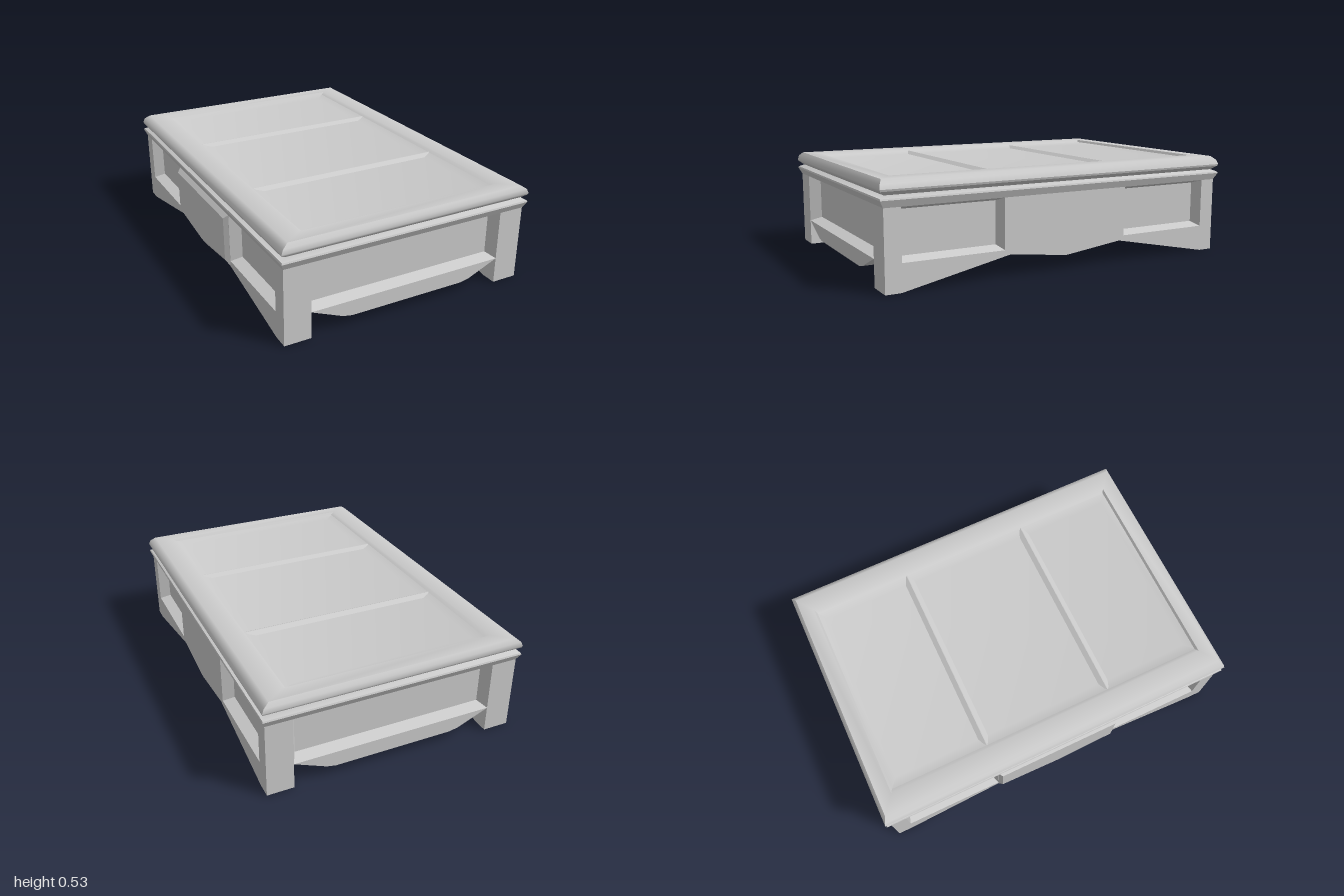
import * as THREE from 'three';
import { toCreasedNormals } from 'three/addons/utils/BufferGeometryUtils.js';

const material = new THREE.MeshStandardMaterial({ color: 0xcccccc });

function addMesh(parent, name, geometry) {
  const mesh = new THREE.Mesh(geometry, material);
  mesh.name = name;
  parent.add(mesh);
  return mesh;
}

// Joins equal-length loops [[x, y, z], ...] (counter-clockwise seen from +z) and caps the last one.
function loft(loops, crease = 0.3) {
  const points = [];
  for (let r = 0; r + 1 < loops.length; r++) {
    const a = loops[r], b = loops[r + 1], n = a.length;
    for (let i = 0; i < n; i++) {
      const j = (i + 1) % n;
      points.push(a[i], a[j], b[j], a[i], b[j], b[i]);
    }
  }
  const last = loops[loops.length - 1];
  const outline = last.map(([x, y]) => new THREE.Vector2(x, y));
  for (const face of THREE.ShapeUtils.triangulateShape(outline, [])) {
    points.push(...face.map((i) => last[i]));
  }
  const geometry = new THREE.BufferGeometry();
  geometry.setAttribute('position', new THREE.Float32BufferAttribute(points.flat(), 3));
  geometry.computeVertexNormals();
  return toCreasedNormals(geometry, crease);
}

const rect = (x0, x1, y0, y1, z) => [[x0, y0, z], [x1, y0, z], [x1, y1, z], [x0, y1, z]];
const centredRect = (hx, hy, z, cy = 0) => rect(-hx, hx, cy - hy, cy + hy, z);

// Sunken panel with sloping edges, facing +z.
function sunkenPanel(x0, x1, y0, y1, z, depth, bevel) {
  return loft([
    rect(x0, x1, y0, y1, z),
    rect(x0 + bevel, x1 - bevel, y0 + 0.02, y1 - 0.02, z - depth),
  ]);
}

const toShape = (points) => new THREE.Shape(points.map(([x, y]) => new THREE.Vector2(x, y)));

function extrude(shape, depth) {
  return new THREE.ExtrudeGeometry(shape, { depth, bevelEnabled: false });
}

// Long side with its two legs, wavy lower edge and two sunken panels; faces +z.
function makeSide() {
  const side = new THREE.Group();
  const shape = toShape([
    [-0.98, 0], [-0.9, 0], [-0.33, 0.115], [0, 0.075], [0.33, 0.115],
    [0.9, 0], [0.98, 0], [0.98, 0.42], [-0.98, 0.42],
  ]);
  for (const [x0, x1] of [[-0.895, -0.36], [0.36, 0.895]]) {
    shape.holes.push(toShape([[x0, 0.14], [x0, 0.4], [x1, 0.4], [x1, 0.14]]));
    addMesh(side, 'sidePanel', sunkenPanel(x0, x1, 0.14, 0.4, 0.68, 0.06, 0.02));
  }
  addMesh(side, 'sideSkirt', extrude(shape, 0.14)).position.z = 0.54;
  return side;
}

// Short end between the legs: sunken panel above a tapered apron; faces +z.
function makeEnd() {
  const end = new THREE.Group();
  addMesh(end, 'endPanel', sunkenPanel(-0.54, 0.54, 0.14, 0.4, 0.98, 0.06, 0.028));
  const apron = toShape([
    [-0.54, 0.14], [-0.37, 0.068], [-0.32, 0.058],
    [0.32, 0.058], [0.37, 0.068], [0.54, 0.14],
  ]);
  addMesh(end, 'endApron', extrude(apron, 0.065)).position.z = 0.915;
  return end;
}

export function createModel() {
  const table = new THREE.Group();
  table.name = 'coffeeTable';

  // Two-step moulded top with a sunken field
  const top = addMesh(table, 'tableTop', loft([
    centredRect(0.5, 0.8, 0.4),
    centredRect(0.68, 0.98, 0.4),
    centredRect(0.695, 0.999, 0.435),
    centredRect(0.692, 0.996, 0.443),
    centredRect(0.665, 0.97, 0.455),
    centredRect(0.692, 0.996, 0.475),
    centredRect(0.695, 1, 0.485),
    centredRect(0.685, 0.995, 0.508),
    centredRect(0.655, 0.978, 0.528),
    centredRect(0.56, 0.905, 0.528),
    centredRect(0.54, 0.895, 0.515),
    centredRect(0.49, 0.855, 0.503),
  ], 0.6));
  top.rotation.x = -Math.PI / 2;

  // Ridges dividing the top into three fields
  for (const z of [-0.357, 0.357]) {
    const ridge = addMesh(table, 'topDivider', loft([
      centredRect(0.5, 0.033, 0.5, z),
      centredRect(0.54, 0.002, 0.518, z),
    ]));
    ridge.rotation.x = -Math.PI / 2;
  }

  // Closed core giving the flat underside
  addMesh(table, 'core', new THREE.BoxGeometry(1.09, 0.24, 1.83)).position.y = 0.26;

  // Mirrored sides and ends
  for (const s of [1, -1]) {
    const side = makeSide();
    side.name = s > 0 ? 'leftSide' : 'rightSide';
    side.rotation.y = s * Math.PI / 2;
    const end = makeEnd();
    end.name = s > 0 ? 'frontEnd' : 'backEnd';
    end.rotation.y = s > 0 ? 0 : Math.PI;
    table.add(side, end);
  }

  // Raised centre panel on the right side only
  const raised = addMesh(table, 'raisedPanel', loft([
    [[-0.358, 0.11, 0.68], [-0.33, 0.115, 0.68], [0, 0.075, 0.68],
      [0.33, 0.115, 0.68], [0.358, 0.11, 0.68], [0.358, 0.4, 0.68], [-0.358, 0.4, 0.68]],
    [[-0.34, 0.145, 0.702], [-0.32, 0.147, 0.702], [0, 0.11, 0.702],
      [0.32, 0.147, 0.702], [0.34, 0.145, 0.702], [0.34, 0.38, 0.702], [-0.34, 0.38, 0.702]],
  ]));
  raised.rotation.y = -Math.PI / 2;

  return table;
}
